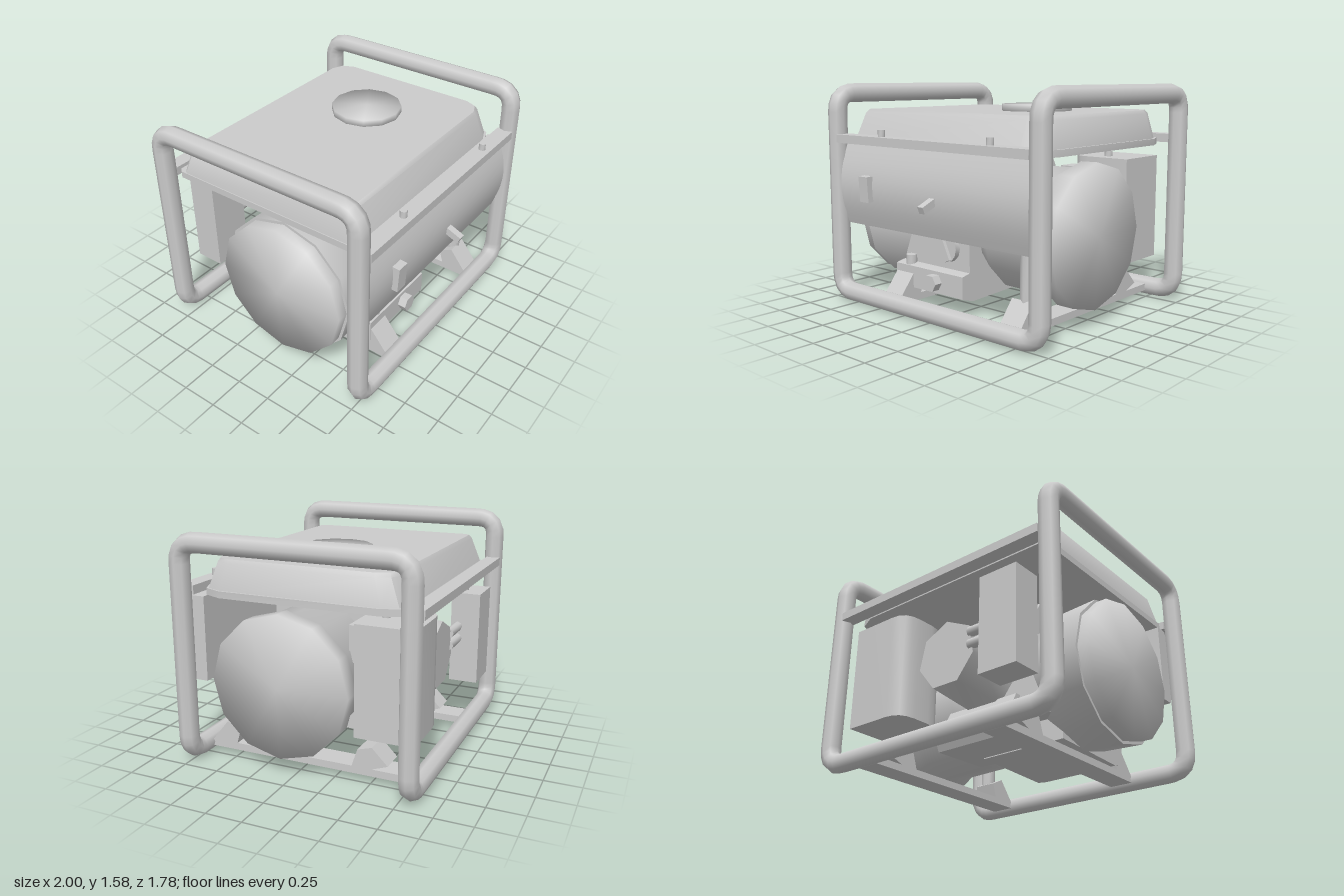
import * as THREE from 'three';
import { toCreasedNormals } from 'three/addons/utils/BufferGeometryUtils.js';

const mat = new THREE.MeshStandardMaterial({ color: 0xcccccc, side: THREE.DoubleSide });
const V = (x, y, z) => new THREE.Vector3(x, y, z);

export function createModel() {
  const root = new THREE.Group();

  const add = (name, geo, x = 0, y = 0, z = 0) => {
    const m = new THREE.Mesh(geo, mat);
    m.name = name;
    m.position.set(x, y, z);
    root.add(m);
    return m;
  };
  // Box given by its min and max on each axis
  const box = (name, x0, x1, y0, y1, z0, z1) =>
    add(name, new THREE.BoxGeometry(x1 - x0, y1 - y0, z1 - z0),
      (x0 + x1) / 2, (y0 + y1) / 2, (z0 + z1) / 2);
  const cyl = (name, r, h, x, y, z, sides = 8, topR = r, crease = 0.9) =>
    add(name, toCreasedNormals(new THREE.CylinderGeometry(topR, r, h, sides), crease), x, y, z);
  // Lathe turned so that its axis runs along x; profile pairs are [x, radius]
  const latheX = (name, profile, y, z) => {
    const pts = profile.map(([x, r]) => new THREE.Vector2(r, x));
    const g = new THREE.LatheGeometry(pts, 12).rotateZ(-Math.PI / 2);
    return add(name, toCreasedNormals(g, 1.6), 0, y, z);
  };
  // Side profile of [z, y] pairs extruded along x from x0 to x1
  const sideExtrude = (name, profile, x0, x1, crease = 0.5) => {
    const s = new THREE.Shape(profile.map(([z, y]) => new THREE.Vector2(-z, y)));
    const g = new THREE.ExtrudeGeometry(s, { depth: x1 - x0, bevelEnabled: false });
    g.rotateY(Math.PI / 2);
    return add(name, toCreasedNormals(g, crease), x0, 0, 0);
  };

  // Tubular carrying frame: one closed loop with rounded corners
  const X = 0.933, Y0 = 0.075, Y1 = 1.515, ZF = 0.75, ZB = -0.82;
  const corners = [
    V(-X, Y0, ZF), V(X, Y0, ZF), V(X, Y1, ZF), V(X, Y1, ZB),
    V(X, Y0, ZB), V(-X, Y0, ZB), V(-X, Y1, ZB), V(-X, Y1, ZF),
  ];
  const path = new THREE.CurvePath();
  const toward = (a, b) => a.clone().add(b.clone().sub(a).setLength(0.13));
  corners.forEach((c, i) => {
    const prev = corners[(i + 7) % 8], next = corners[(i + 1) % 8];
    const exit = toward(c, next);
    path.add(new THREE.QuadraticBezierCurve3(toward(c, prev), c, exit));
    path.add(new THREE.LineCurve3(exit, toward(next, c)));
  });
  add('frame', new THREE.TubeGeometry(path, 260, 0.068, 8, true));

  // Upper cross bars and lower mounting rails
  box('frontCrossBar', -0.885, 0.885, 1.165, 1.225, 0.69, 0.805);
  box('backCrossBar', -0.885, 0.885, 1.165, 1.225, -0.88, -0.78);
  for (const x of [-0.46, 0.54]) cyl('crossBarBolt', 0.025, 0.05, x, 1.247, 0.745);
  for (const x of [-0.44, 0.65]) {
    box('mountingRail', x - 0.085, x + 0.085, 0.05, 0.1, -0.8, 0.74);
    // Slanted rubber mounts at both ends of the rail
    sideExtrude('frontMount', [[0.69, 0.1], [0.5, 0.1], [0.47, 0.2], [0.57, 0.25]], x - 0.085, x + 0.085);
    sideExtrude('backMount', [[-0.36, 0.1], [-0.5, 0.1], [-0.61, 0.14], [-0.5, 0.25], [-0.4, 0.22]], x - 0.085, x + 0.085);
  }
  cyl('mountPost', 0.052, 0.4, 0.665, 0.4, 0.53);

  // Fuel tank: stacked outlines with larger corners on the +x side
  const outline = (x0, x1, z0, z1, cl, cr) => [
    [x0 + cl, z1], [x1 - cr, z1], [x1 - cr * 0.3, z1 - cr * 0.3], [x1, z1 - cr],
    [x1, z0 + cr], [x1 - cr * 0.3, z0 + cr * 0.3], [x1 - cr, z0], [x0 + cl, z0],
    [x0, z0 + cl], [x0, z1 - cl],
  ];
  const loft = (name, levels) => {
    const pos = [], idx = [], n = levels[0].pts.length, L = levels.length;
    levels.forEach(({ y, pts }) => pts.forEach(([x, z]) => pos.push(x, y, z)));
    for (let l = 0; l < L - 1; l++)
      for (let i = 0; i < n; i++) {
        const a = l * n + i, b = l * n + (i + 1) % n;
        idx.push(a, b, b + n, a, b + n, a + n);
      }
    for (let i = 1; i < n - 1; i++) {
      const t = (L - 1) * n;
      idx.push(t, t + i, t + i + 1, 0, i + 1, i);
    }
    const g = new THREE.BufferGeometry();
    g.setAttribute('position', new THREE.Float32BufferAttribute(pos, 3));
    g.setIndex(idx);
    return add(name, toCreasedNormals(g, 0.7));
  };
  loft('tankFlange', [
    { y: 1.155, pts: outline(-0.865, 0.87, -0.78, 0.69, 0.03, 0.18) },
    { y: 1.2, pts: outline(-0.865, 0.87, -0.78, 0.69, 0.03, 0.18) },
  ]);
  loft('fuelTank', [
    { y: 1.19, pts: outline(-0.86, 0.855, -0.745, 0.67, 0.03, 0.15) },
    { y: 1.375, pts: outline(-0.835, 0.83, -0.675, 0.595, 0.03, 0.13) },
    { y: 1.4, pts: outline(-0.81, 0.81, -0.66, 0.58, 0.03, 0.12) },
  ]);
  cyl('fuelCap', 0.245, 0.055, 0.265, 1.418, -0.04, 12, 0.245, 1.6);

  // Curved control panel
  const panel = [[0.625, 0.58]];
  for (let i = 0; i <= 10; i++) {
    const t = i / 10;
    panel.push([0.72 + 0.065 * Math.sin(Math.PI * t), 0.58 + 0.575 * t]);
  }
  panel.push([0.625, 1.155]);
  sideExtrude('controlPanel', panel, -0.87, 0.87);
  const rocker = box('rockerSwitch', -0.615, -0.525, 0.77, 0.95, 0.76, 0.825);
  rocker.rotation.x = 0.06;
  const lever = box('switchLever', 0.045, 0.095, 0.79, 0.84, 0.76, 0.885);
  lever.rotation.x = 0.4;

  // Starter housing on the +x end, alternator with stepped end cover on the -x end
  latheX('starterHousing', [
    [0.02, 0.2], [0.13, 0.33], [0.28, 0.435], [0.68, 0.44], [0.74, 0.485], [0.87, 0.487], [0.9, 0],
  ], 0.605, 0.09);
  latheX('alternatorHousing', [[-0.82, 0.47], [-0.82, 0.505], [-0.53, 0.49], [-0.4, 0.4], [-0.3, 0.36]], 0.61, 0.095);
  latheX('alternatorCover', [[-0.93, 0], [-0.9, 0.485], [-0.81, 0.485]], 0.61, 0.095);

  // Engine block, sump, crankcase and cylinder head
  box('engineBlock', -0.5, 0.13, 0.3, 0.85, -0.3, 0.5);
  sideExtrude('sump', [[0.47, 0.12], [0.57, 0.15], [0.57, 0.305], [0.5, 0.32],
    [-0.15, 0.35], [-0.15, 0.14]], -0.53, 0.13, 0.9);
  sideExtrude('crankcase', [[0, 0.15], [0, 0.45], [-0.34, 0.45], [-0.47, 0.2],
    [-0.44, 0.14]], -0.3, 0.28, 0.9);
  sideExtrude('cylinderHead', [[0.44, 0.7], [0.44, 1.0], [0.34, 1.16], [-0.19, 1.16],
    [-0.28, 1.0], [-0.28, 0.7]], -0.4, 0.25);
  cyl('oilFiller', 0.04, 0.1, -0.42, 0.325, 0.525);
  cyl('drainBolt', 0.06, 0.07, -0.13, 0.23, 0.595, 6).rotation.set(Math.PI / 2, Math.PI / 6, 0);
  cyl('fuelValve', 0.105, 0.05, -0.065, 0.475, 0.515, 12).rotation.x = Math.PI / 2;
  const grip = box('fuelValveGrip', -0.09, -0.04, 0.38, 0.57, 0.52, 0.565);
  grip.rotation.z = 0.45;

  // Tapered rear engine cover with two short pipes to the filter box
  cyl('rearCover', 0.28, 0.42, -0.01, 0.68, -0.5, 7, 0.24, 1.0).rotation.x = -Math.PI / 2;
  for (const y of [0.69, 0.78]) cyl('rearPipe', 0.035, 0.25, -0.33, y, -0.7).rotation.z = Math.PI / 2;
  box('exhaustBracket', 0.3, 0.6, 0.75, 1.0, -0.42, -0.28);

  // Muffler: upright canister with a rounded inner end
  const plan = new THREE.Shape();
  plan.moveTo(0.45, 0.395);
  plan.lineTo(0.78, 0.395);
  plan.lineTo(0.78, 0.8);
  plan.lineTo(0.43, 0.8);
  plan.quadraticCurveTo(0.3, 0.8, 0.3, 0.66);
  plan.lineTo(0.3, 0.54);
  plan.quadraticCurveTo(0.3, 0.395, 0.45, 0.395);
  const canister = new THREE.ExtrudeGeometry(plan, { depth: 0.745, bevelEnabled: false, curveSegments: 4 });
  canister.rotateX(-Math.PI / 2);
  add('muffler', toCreasedNormals(canister, 0.6), 0, 0.32, 0);
  cyl('mufflerStud', 0.03, 0.04, 0.55, 1.082, -0.515);

  // Filter box on the other side of the back
  box('filterBox', -0.71, -0.42, 0.36, 1.03, -0.86, -0.65);
  cyl('filterBoxStud', 0.035, 0.08, -0.55, 1.06, -0.705);

  return root;
}
